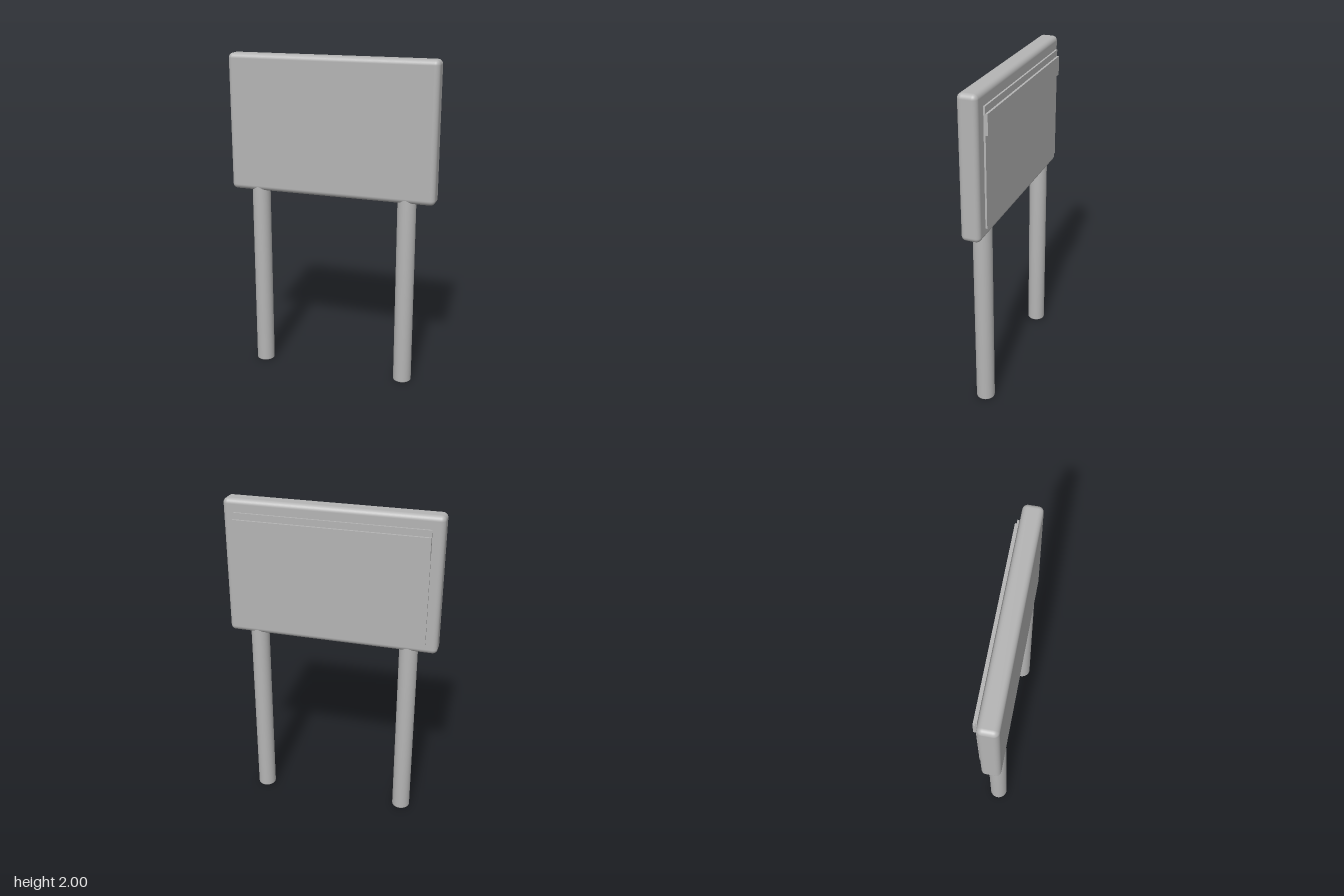
import * as THREE from 'three';
import { RoundedBoxGeometry } from 'three/addons/geometries/RoundedBoxGeometry.js';

export function createModel() {
  const model = new THREE.Group();
  model.name = 'signboard';
  const grey = new THREE.MeshStandardMaterial({ color: 0xb4b4b4 });
  grey.name = 'plain grey';

  const add = (name, geometry, x, y, z) => {
    const mesh = new THREE.Mesh(geometry, grey);
    mesh.name = name;
    mesh.position.set(x, y, z);
    model.add(mesh);
  };

  // Thick board with softly rounded edges
  add('board', new RoundedBoxGeometry(1.286, 0.835, 0.115, 4, 0.03), 0, 1.5825, 0.0155);

  // Thin panel standing just off the back, with a raised strip near its top
  add('backPanel', new THREE.BoxGeometry(1.15, 0.692, 0.011), 0, 1.58, -0.0545);
  add('backStrip', new THREE.BoxGeometry(1.15, 0.118, 0.013), 0, 1.828, -0.0665);

  // Round posts with a slightly softened foot, running up into the board
  const profile = [[0, 0], [0.05, 0], [0.0545, 0.003], [0.056, 0.008], [0.056, 1.22], [0, 1.22]]
    .map(([r, y]) => new THREE.Vector2(r, y));
  for (const side of [-1, 1]) {
    add(side > 0 ? 'leftPost' : 'rightPost', new THREE.LatheGeometry(profile, 32), side * 0.467, 0, 0.016);
  }

  return model;
}
